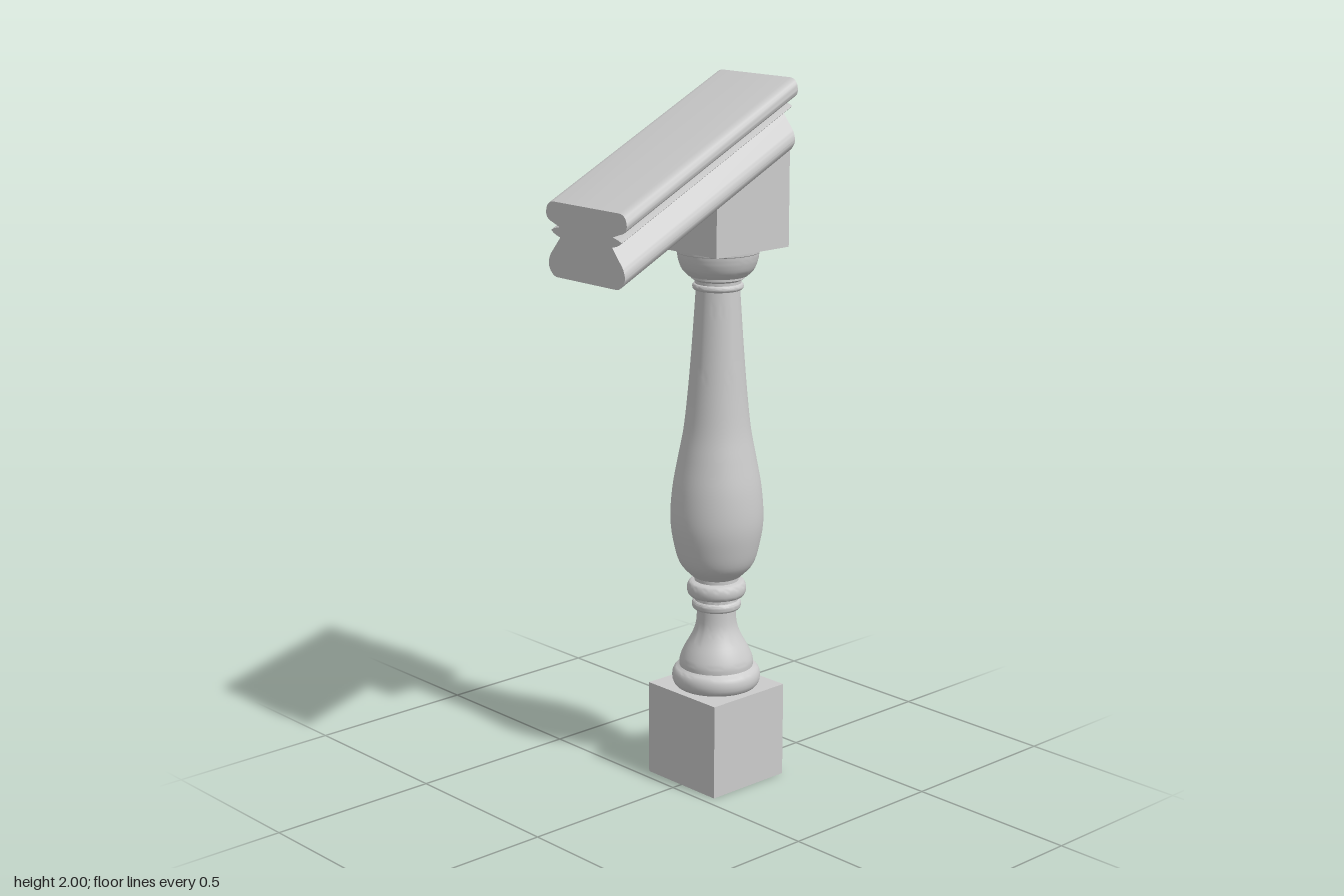
import * as THREE from 'three';
import { toCreasedNormals } from 'three/addons/utils/BufferGeometryUtils.js';

const SLOPE = 0.487;      // rise of the handrail per unit of -z
const POST_Z = -0.168;    // axis of the baluster
const HALF = 0.136;       // half width of the square blocks
const RAIL_HALF = 0.307;  // half length of the handrail
const railBottom = (z) => 1.502 + (RAIL_HALF - z) * SLOPE;

const material = new THREE.MeshStandardMaterial({ color: 0xcccccc, side: THREE.DoubleSide });

function part(name, geometry, crease = 0.6) {
  const mesh = new THREE.Mesh(toCreasedNormals(geometry, crease), material);
  mesh.name = name;
  return mesh;
}

// Moves every vertex by a rule
function deform(geometry, rule) {
  const p = geometry.attributes.position;
  const v = new THREE.Vector3();
  for (let i = 0; i < p.count; i++) {
    rule(v.fromBufferAttribute(p, i));
    p.setXYZ(i, v.x, v.y, v.z);
  }
  return geometry;
}

// Smooth run through [radius, height] points
function curve(points, n) {
  return new THREE.SplineCurve(points.map(([r, y]) => new THREE.Vector2(r, y))).getPoints(n);
}

const line = (points) => points.map(([r, y]) => new THREE.Vector2(r, y));

// Half-round moulding between two heights
function bead(r, bulge, y0, y1) {
  const out = [];
  for (let i = 0; i <= 8; i++) {
    const a = (i / 8) * Math.PI;
    out.push(new THREE.Vector2(r + bulge * Math.sin(a), (y0 + y1) / 2 - ((y1 - y0) / 2) * Math.cos(a)));
  }
  return out;
}

function turned(name, profile) {
  const mesh = part(name, new THREE.LatheGeometry(profile, 48));
  mesh.position.z = POST_Z;
  return mesh;
}

// Square foot, open underneath
function buildPlinth() {
  const g = new THREE.BoxGeometry(2 * HALF, 0.274, 2 * HALF);
  const index = Array.from(g.index.array);
  index.splice(18, 6); // bottom face
  g.setIndex(index);
  const mesh = part('plinth', g);
  mesh.position.set(0, 0.137, POST_Z);
  return mesh;
}

// Square head, its top cut to the pitch of the rail
function buildHeadBlock() {
  const g = new THREE.BoxGeometry(2 * HALF, 1, 2 * HALF);
  deform(g, (v) => {
    v.z += POST_Z;
    v.y = v.y < 0 ? 1.542 : railBottom(v.z) + 0.02;
  });
  return part('headBlock', g, 0.3);
}

// Moulded handrail: mirrored cross-section, pitched with plumb-cut ends
function buildHandrail() {
  const s = new THREE.Shape();
  s.moveTo(0, 0);
  s.lineTo(0.12, 0);
  s.quadraticCurveTo(0.142, 0.003, 0.152, 0.03);
  s.quadraticCurveTo(0.152, 0.045, 0.143, 0.06);
  s.lineTo(0.103, 0.108);
  s.quadraticCurveTo(0.13, 0.114, 0.14, 0.124);
  s.quadraticCurveTo(0.13, 0.13, 0.105, 0.135);
  s.lineTo(0.14, 0.147);
  s.quadraticCurveTo(0.16, 0.152, 0.16, 0.17);
  s.quadraticCurveTo(0.158, 0.199, 0.13, 0.2);
  s.lineTo(0, 0.2);
  const right = s.getPoints(6);
  const left = right.slice(1, -1).reverse().map((p) => new THREE.Vector2(-p.x, p.y));
  const g = new THREE.ExtrudeGeometry(new THREE.Shape([...right, ...left]), {
    depth: 2 * RAIL_HALF, bevelEnabled: false,
  });
  g.translate(0, 0, -RAIL_HALF);
  deform(g, (v) => { v.y += railBottom(v.z); });
  return part('handrail', g);
}

export function createModel() {
  const group = new THREE.Group();
  group.name = 'balusterWithHandrail';

  group.add(buildPlinth());

  // Base ring and bell
  group.add(turned('base', [
    ...bead(0.108, 0.018, 0.274, 0.332),
    ...curve([[0.105, 0.335], [0.104, 0.355], [0.092, 0.385], [0.07, 0.425], [0.058, 0.46], [0.055, 0.505]], 18),
  ]));

  // Rings below the vase
  group.add(turned('lowerRings', [
    ...line([[0.055, 0.502]]),
    ...bead(0.062, 0.008, 0.504, 0.53),
    ...line([[0.062, 0.54]]),
    ...bead(0.072, 0.012, 0.542, 0.586),
    ...line([[0.062, 0.588], [0.062, 0.598], [0.07, 0.602]]),
  ]));

  // Vase-shaped shaft
  group.add(turned('shaft', curve([
    [0.07, 0.602], [0.104, 0.64], [0.122, 0.7], [0.131, 0.77], [0.125, 0.86], [0.109, 0.95],
    [0.094, 1.03], [0.083, 1.13], [0.073, 1.25], [0.066, 1.35], [0.061, 1.426],
  ], 48)));

  // Neck ring and cap
  group.add(turned('cap', [
    ...line([[0.061, 1.424]]),
    ...bead(0.064, 0.007, 1.424, 1.442),
    ...line([[0.064, 1.45], [0.074, 1.456], [0.074, 1.464]]),
    ...curve([[0.083, 1.464], [0.1, 1.482], [0.11, 1.508], [0.113, 1.528]], 10),
    ...line([[0.115, 1.53], [0.115, 1.543]]),
  ]));

  group.add(buildHeadBlock(), buildHandrail());
  return group;
}
